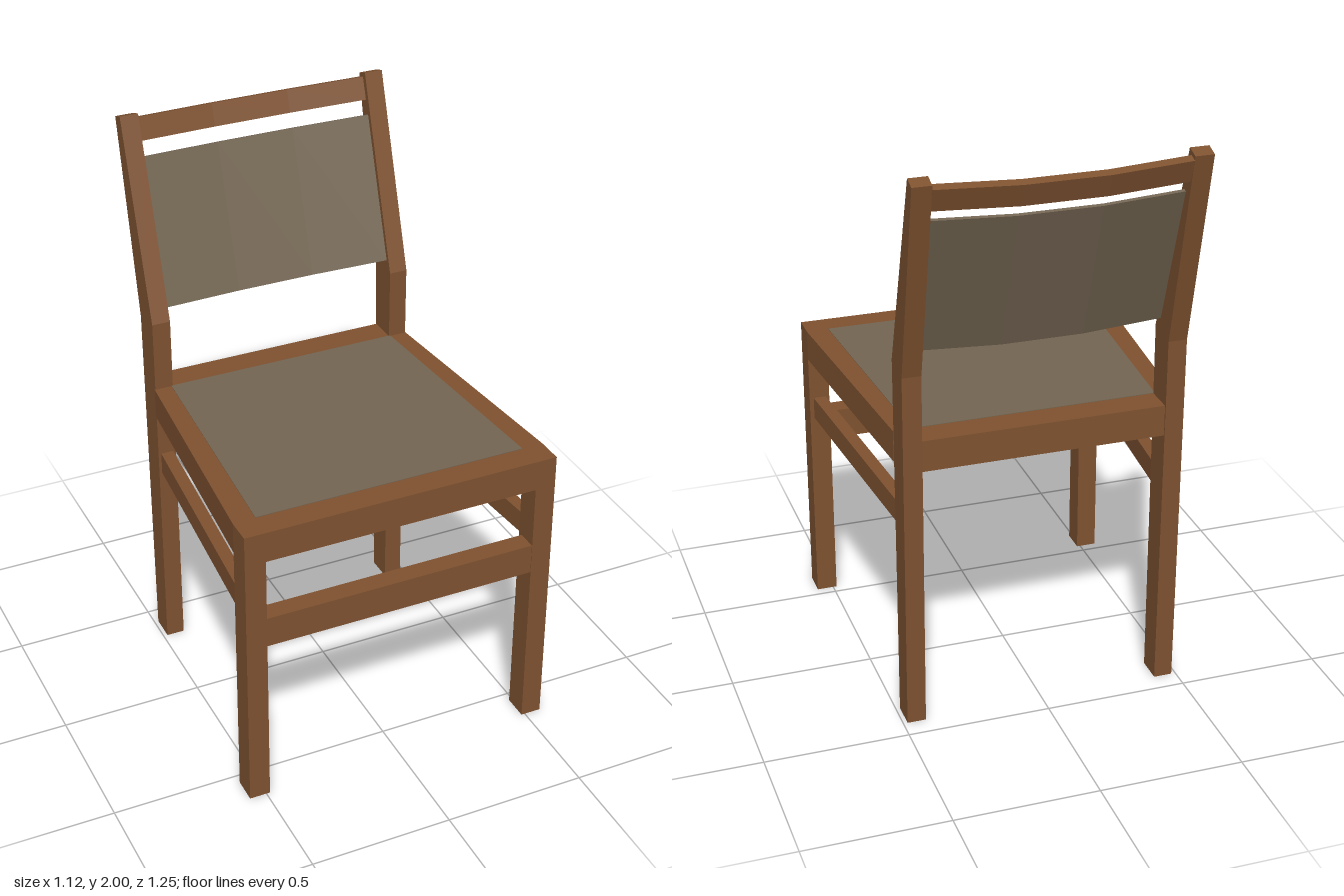
import * as THREE from 'three';

const wood = new THREE.MeshStandardMaterial({ color: 0x7f5230 });
wood.name = 'wood';
const upholstery = new THREE.MeshStandardMaterial({ color: 0x736552 });
upholstery.name = 'upholstery';

export function createModel() {
  const chair = new THREE.Group();
  chair.name = 'chair';

  const add = (name, geometry, material, x = 0, y = 0, z = 0) => {
    const mesh = new THREE.Mesh(geometry, material);
    mesh.name = name;
    mesh.position.set(x, y, z);
    chair.add(mesh);
    return mesh;
  };
  const extrude = (points, depth) => new THREE.ExtrudeGeometry(
    new THREE.Shape(points.map(([a, b]) => new THREE.Vector2(a, b))),
    { depth, bevelEnabled: false });
  // Plan outline of [x, z] points raised upwards by height
  const slab = (points, height) =>
    extrude(points.map(([x, z]) => [x, -z]), height).rotateX(-Math.PI / 2);

  // Rear posts: bent side profile of [z, y] points, straight below and leaning above
  const postProfile = [[-0.335, 0], [-0.338, 1.32], [-0.56, 2], [-0.605, 1.985], [-0.45, 1.3], [-0.43, 0]];
  for (const [side, s] of [['left', 1], ['right', -1]]) {
    const post = extrude(postProfile, 0.065).rotateY(-Math.PI / 2);
    add(side + 'RearPost', post, wood, s > 0 ? 0.485 : -0.42);

    add(side + 'FrontLeg', new THREE.BoxGeometry(0.073, 0.956, 0.09), wood, s * 0.5235, 0.478, 0.58);

    // Side stretcher follows the taper of the seat
    const plan = [[0.545, 0.536], [0.475, -0.336], [0.43, -0.336], [0.5, 0.536]];
    add(side + 'Stretcher', slab(plan.map(([x, z]) => [s * x, z]), 0.08), wood, 0, 0.72);
  }

  // Tapered seat block, notched at the back to fit between the posts
  const half = [[0.56, 0.625], [0.56, 0.535], [0.487, -0.339], [0.42, -0.339], [0.42, -0.44]];
  const mirrored = half.map(([x, z]) => [-x, z]).reverse();
  add('seatFrame', slab([...half, ...mirrored], 0.11), wood, 0, 0.955);
  add('seatPad', slab([[0.482, 0.533], [0.425, -0.338], [-0.425, -0.338], [-0.482, 0.533]], 0.004),
    upholstery, 0, 1.063);

  add('frontStretcher', new THREE.BoxGeometry(0.974, 0.11, 0.07), wood, 0, 0.675, 0.588);

  // Curved back parts: three flat facets, tilted to match the posts
  const curve = [[-0.421, 0], [-0.14, -0.024], [0.14, -0.024], [0.421, 0]];
  const backSlat = (name, thickness, height, material, y, z) => {
    const rear = curve.map(([x, dz]) => [x, dz - thickness]).reverse();
    add(name, slab([...curve, ...rear], height).rotateX(-0.32), material, 0, y, z);
  };
  backSlat('topRail', 0.03, 0.08, wood, 1.904, -0.55);
  backSlat('backPanel', 0.012, 0.521, upholstery, 1.36, -0.367);

  return chair;
}
